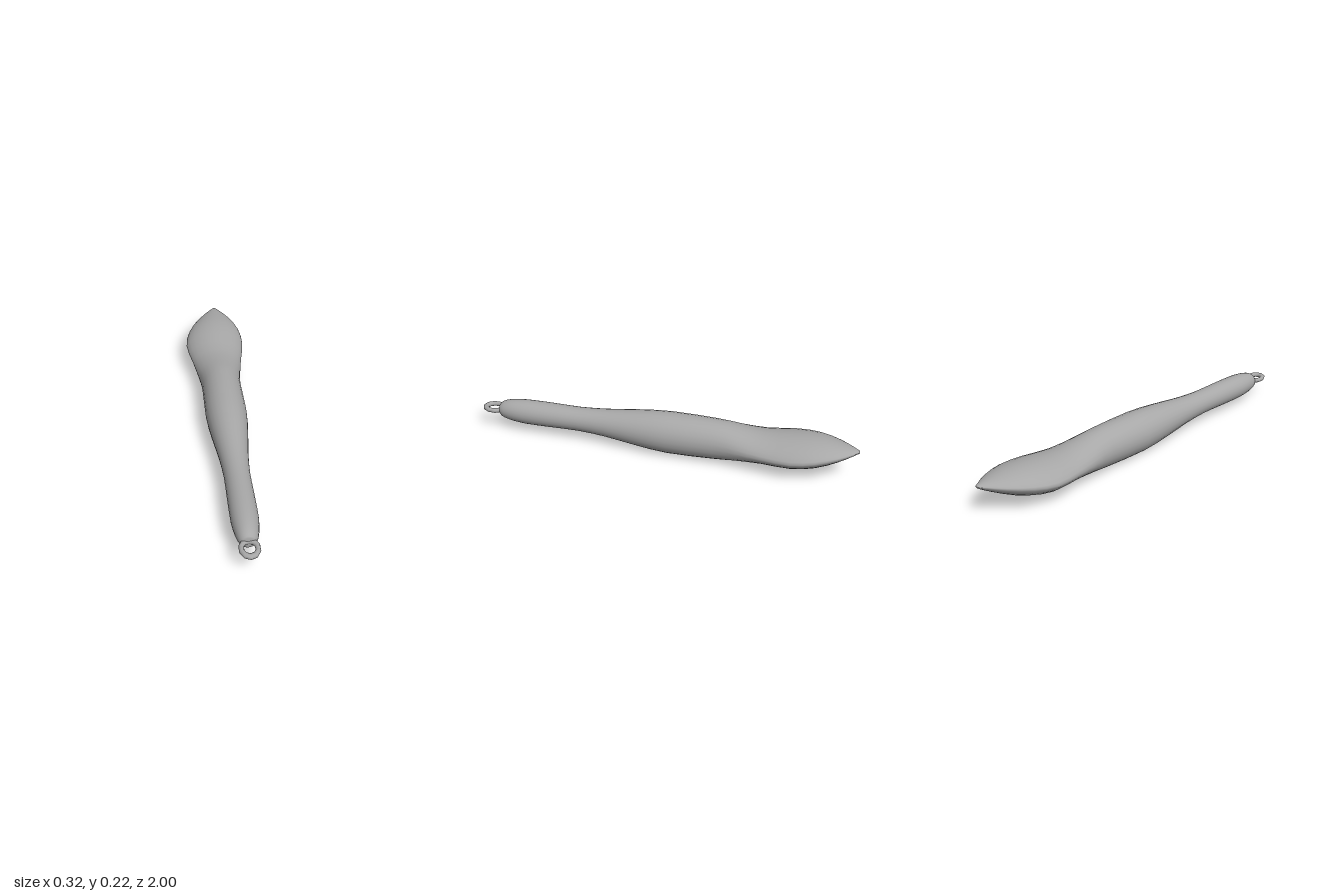
import * as THREE from 'three';

// Body stations along the length: z, half width, bottom, top
const STATIONS = [
  [0.9, 0.027, 0.085, 0.139],
  [0.885, 0.042, 0.07, 0.153],
  [0.84, 0.055, 0.056, 0.168],
  [0.75, 0.065, 0.047, 0.177],
  [0.6, 0.065, 0.048, 0.178],
  [0.45, 0.064, 0.05, 0.177],
  [0.3, 0.074, 0.04, 0.187],
  [0.13, 0.094, 0.018, 0.207],
  [-0.04, 0.107, 0.002, 0.22],
  [-0.28, 0.104, 0.008, 0.216],
  [-0.4, 0.116, 0.023, 0.2],
  [-0.53, 0.136, 0.038, 0.187],
  [-0.68, 0.16, 0.04, 0.2],
  [-0.8, 0.142, 0.065, 0.203],
  [-0.9, 0.092, 0.107, 0.192],
  [-0.97, 0.036, 0.144, 0.181],
  [-1, 0.009, 0.163, 0.174],
];
const SIDES = 24;
const RINGS = (STATIONS.length - 1) * 2;

// Smooth skin stretched over the stations, closed at both ends
function bodyGeometry() {
  const widths = new THREE.SplineCurve(STATIONS.map(([z, w]) => new THREE.Vector2(z, w)));
  const heights = new THREE.SplineCurve(STATIONS.map(([, , b, t]) => new THREE.Vector2(b, t)));
  const positions = [], index = [], caps = [];

  for (let r = 0; r <= RINGS; r++) {
    const { x: z, y: halfWidth } = widths.getPoint(r / RINGS);
    const { x: bottom, y: top } = heights.getPoint(r / RINGS);
    // The tip drifts sideways, and the blade has thinner, raised edges
    const toTip = THREE.MathUtils.clamp((-0.65 - z) / 0.35, 0, 1);
    const cx = -0.003 + 0.028 * Math.pow(toTip, 1.5);
    const power = 1 + 0.35 * THREE.MathUtils.smoothstep(-z, 0.3, 0.7);
    const edge = THREE.MathUtils.lerp(bottom, top, 0.5 + 0.1 * toTip);
    for (let i = 0; i < SIDES; i++) {
      const angle = (i / SIDES) * Math.PI * 2, s = Math.sin(angle);
      const reach = (s >= 0 ? top : bottom) - edge;
      positions.push(cx + halfWidth * Math.cos(angle), edge + reach * Math.pow(Math.abs(s), power), z);
    }
    if (r === 0 || r === RINGS) caps.push([cx, edge, z]);
  }

  const front = positions.length / 3, back = front + 1, last = RINGS * SIDES;
  positions.push(...caps.flat());
  for (let i = 0; i < SIDES; i++) {
    const j = (i + 1) % SIDES;
    for (let r = 0; r < last; r += SIDES) {
      index.push(r + i, r + SIDES + i, r + j, r + j, r + SIDES + i, r + SIDES + j);
    }
    index.push(front, i, j, back, last + j, last + i);
  }

  const geometry = new THREE.BufferGeometry();
  geometry.setAttribute('position', new THREE.Float32BufferAttribute(positions, 3));
  geometry.setIndex(index);
  geometry.computeVertexNormals();
  return geometry;
}

export function createModel() {
  const model = new THREE.Group();
  model.name = 'handTool';
  const grey = new THREE.MeshStandardMaterial({ color: 0xa8a8a8 });
  grey.name = 'plain grey';

  // Handle and flattened blade in one piece
  const body = new THREE.Mesh(bodyGeometry(), grey);
  body.name = 'handleAndBlade';
  model.add(body);

  // Oval hanging loop at the handle end
  const loopGeometry = new THREE.TorusGeometry(0.038, 0.0125, 10, 10);
  loopGeometry.rotateX(Math.PI / 2).rotateY(Math.PI / 2).scale(1, 1, 1.28);
  const loop = new THREE.Mesh(loopGeometry, grey);
  loop.name = 'hangingLoop';
  loop.position.set(-0.003, 0.112, 0.935);
  model.add(loop);

  return model;
}
